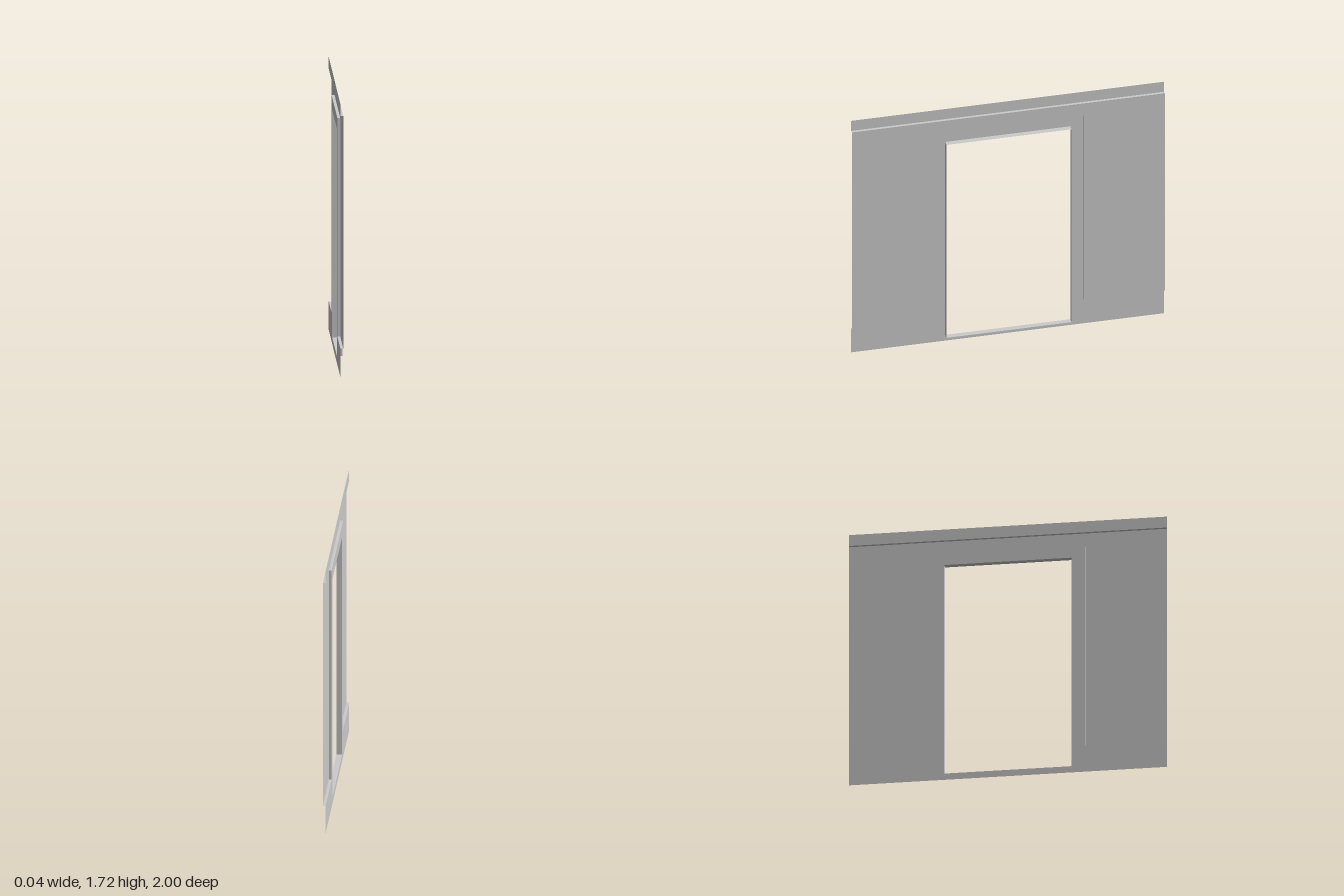
import * as THREE from 'three';

const material = new THREE.MeshStandardMaterial({ color: 0xcccccc, side: THREE.DoubleSide, flatShading: true });

// Depths along x of the back skin, the raised panel and the door rim
const BACK = -0.018, PANEL = 0, RIM = 0.018;
// Heights
const TOP = 1.72, LEDGE = 1.645, FRAME_TOP = 1.555, DOOR_TOP = 1.476, DOOR_BOTTOM = 0.043, SKIRT = 0.18;
// Half widths along z
const HALF = 1, FRAME = 0.485, DOOR = 0.4;

const toPoints = (pairs) => pairs.map(([z, y]) => new THREE.Vector2(z, y));
const rectangle = (w, y0, y1) => [[-w, y0], [w, y0], [w, y1], [-w, y1]];

export function createModel() {
  const model = new THREE.Group();

  const add = (name, geometry) => {
    const mesh = new THREE.Mesh(geometry, material);
    mesh.name = name;
    model.add(mesh);
  };

  // Flat sheet facing +x, outlined by [z, y] pairs
  const sheet = (name, x, outline, hole) => {
    const shape = new THREE.Shape(toPoints(outline));
    if (hole) shape.holes.push(new THREE.Path(toPoints(hole)));
    add(name, new THREE.ShapeGeometry(shape).rotateY(Math.PI / 2).translate(x, 0, 0));
  };

  // Narrow band following [z, y] pairs, spanning x0 to x1
  const band = (name, x0, x1, path) => {
    const positions = [];
    for (let i = 0; i < path.length - 1; i++) {
      const [za, ya] = path[i], [zb, yb] = path[i + 1];
      positions.push(x0, ya, za, x1, ya, za, x1, yb, zb, x0, ya, za, x1, yb, zb, x0, yb, zb);
    }
    const geometry = new THREE.BufferGeometry();
    geometry.setAttribute('position', new THREE.Float32BufferAttribute(positions, 3));
    geometry.computeVertexNormals();
    add(name, geometry);
  };

  // Step line running over the skirting and around the door frame
  const step = [
    [-HALF, SKIRT], [-FRAME, SKIRT], [-FRAME, FRAME_TOP],
    [FRAME, FRAME_TOP], [FRAME, SKIRT], [HALF, SKIRT],
  ];

  // Top strip and the ledge below it
  sheet('topStrip', BACK, rectangle(HALF, LEDGE, TOP));
  band('topLedge', BACK, PANEL, [[-HALF, LEDGE], [HALF, LEDGE]]);

  // Raised wall panel
  sheet('wallPanel', PANEL, [...step, [HALF, LEDGE], [-HALF, LEDGE]]);
  band('panelStep', BACK, PANEL, step);

  // Skirting and door frame in one recessed sheet, with the doorway cut out
  const doorway = rectangle(DOOR, DOOR_BOTTOM, DOOR_TOP);
  sheet('skirtingAndDoorFrame', BACK, [[-HALF, 0], ...step, [HALF, 0]], doorway);

  // Thin rim lining the doorway
  band('doorwayRim', BACK, RIM, [...doorway, doorway[0]]);

  return model;
}
